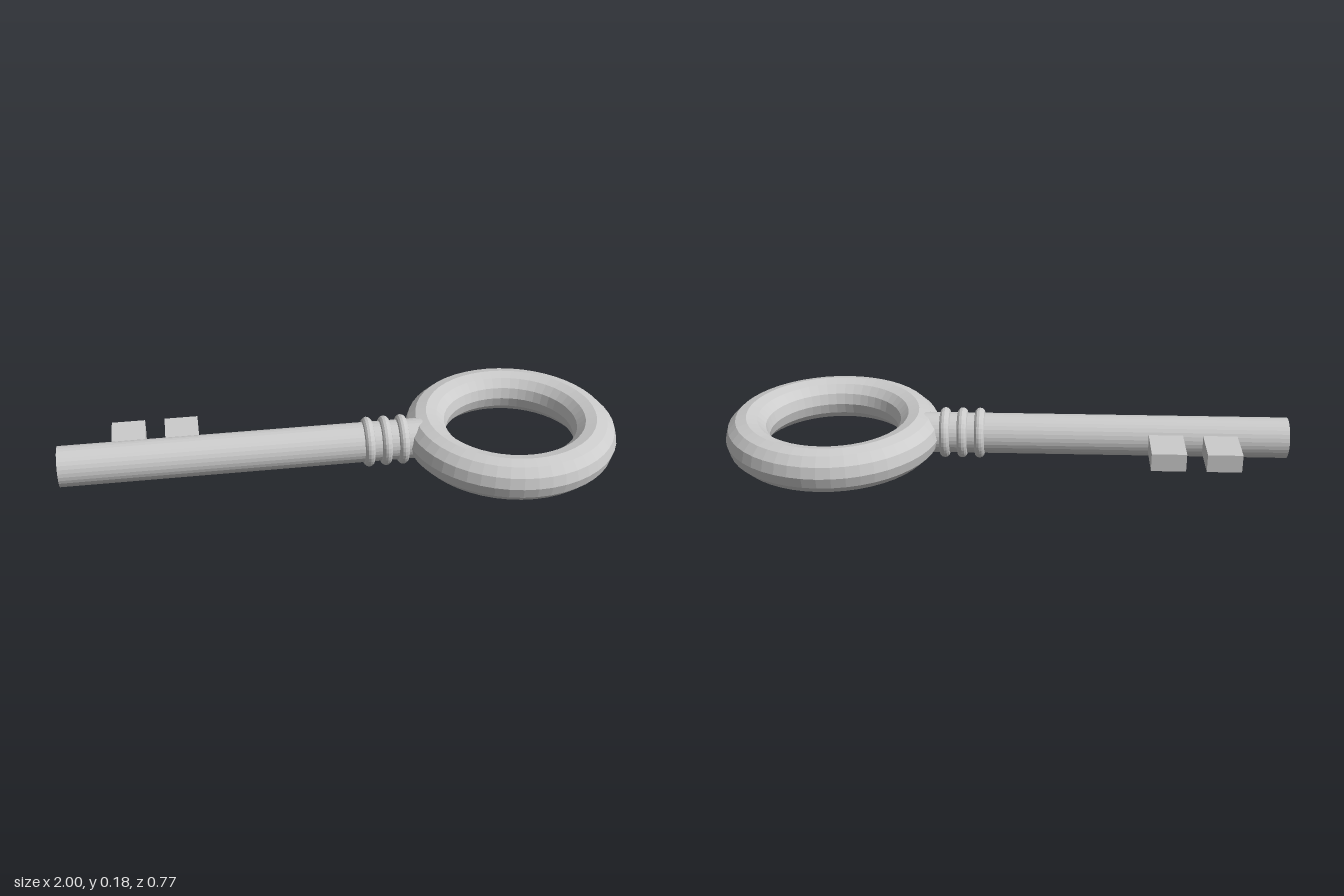
import * as THREE from 'three';

export function createModel() {
  const group = new THREE.Group();
  const mat = new THREE.MeshStandardMaterial({ color: 0xcccccc, flatShading: true });
  const axisY = 0.09;

  const add = (name, geometry, x, z = 0) => {
    const mesh = new THREE.Mesh(geometry, mat);
    mesh.name = name;
    mesh.position.set(x, axisY, z);
    group.add(mesh);
    return mesh;
  };

  // Ring-shaped handle lying flat
  add('bow', new THREE.TorusGeometry(0.307, 0.077, 12, 48).rotateX(Math.PI / 2), 0.615);

  // Round shaft, its inner end buried in the bow
  const start = -1, end = 0.3;
  add('shaft', new THREE.CylinderGeometry(0.072, 0.072, end - start, 32).rotateZ(Math.PI / 2), (start + end) / 2);

  // Three collar rings next to the bow
  [0.09, 0.152, 0.214].forEach((x, i) =>
    add(`collar${i + 1}`, new THREE.TorusGeometry(0.072, 0.018, 12, 32).rotateY(Math.PI / 2), x));

  // Two teeth pointing back from the shaft
  const zBack = -0.215, zRoot = -0.03;
  [-0.757, -0.567].forEach((x, i) =>
    add(`tooth${i + 1}`, new THREE.BoxGeometry(0.12, 0.064, zRoot - zBack), x, (zBack + zRoot) / 2));

  return group;
}
